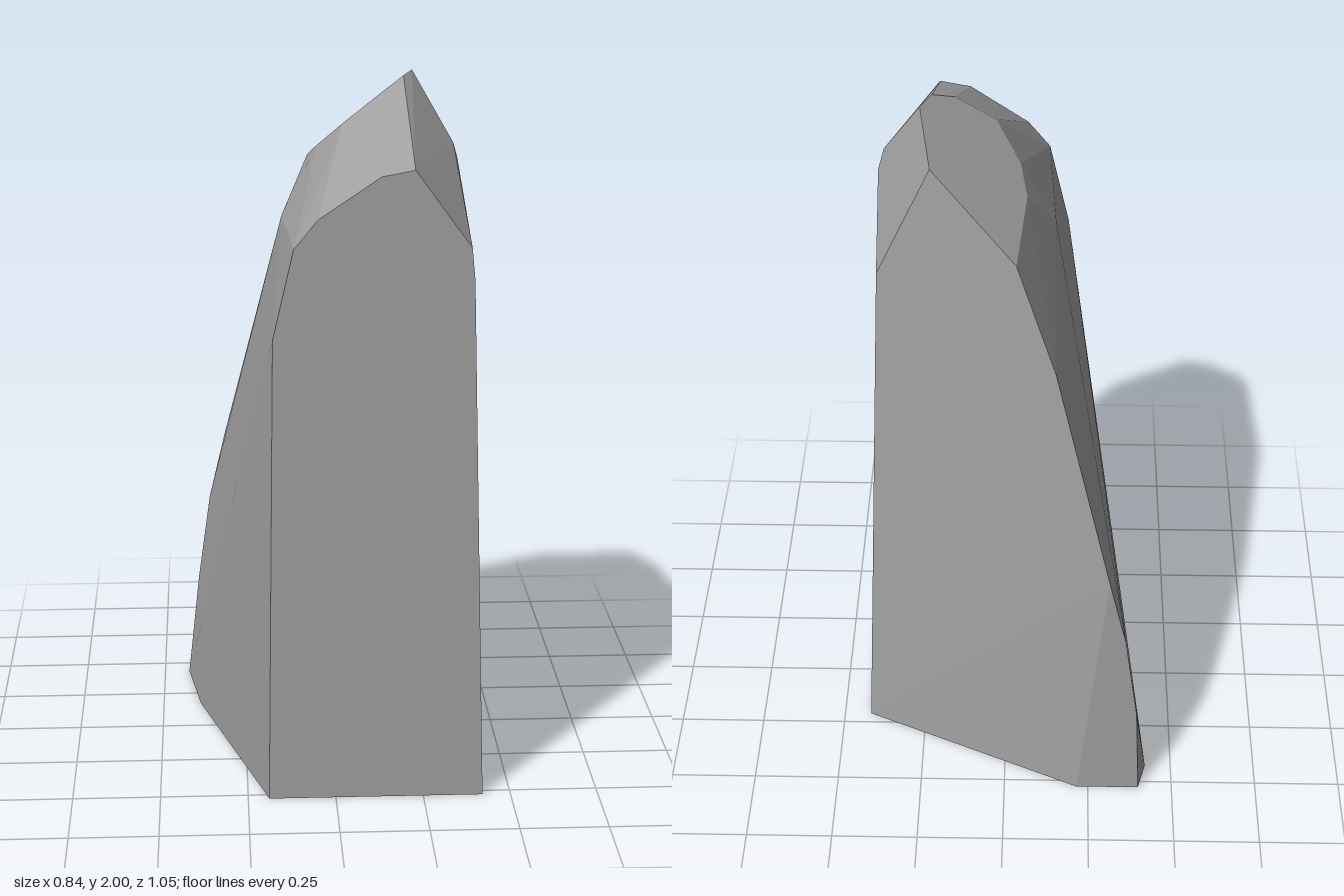
import * as THREE from 'three';
import { ConvexGeometry } from 'three/addons/geometries/ConvexGeometry.js';

export function createModel() {
  const group = new THREE.Group();
  group.name = 'rockPillar';
  const stone = new THREE.MeshStandardMaterial({ color: 0xa0a0a0, flatShading: true });
  stone.name = 'grey stone';

  // Corners of the cut stone, grouped by the face they outline
  const base = [
    [-0.19, 0, 0.525], [0.42, 0, 0.525], [0.42, 0, -0.21], [-0.215, 0, -0.525],
    [-0.4, 0, -0.525], [-0.423, 0, -0.43], [-0.386, 0, -0.17],
  ];
  const frontFace = [
    [-0.173, 1.35, 0.525], [-0.115, 1.6, 0.525], [-0.05, 1.68, 0.525], [0.12, 1.795, 0.525],
    [0.21, 1.812, 0.525], [0.365, 1.6, 0.525], [0.374, 1.51, 0.525],
  ];
  // Slanted back face, running down to the narrow rear chamfer
  const backFace = [
    [0.362, 1.56, -0.149], [0.205, 1.92, -0.206], [-0.03, 1.7, -0.335], [-0.14, 1.4, -0.407],
    [-0.3, 0.77, -0.525], [-0.35, 0.56, -0.525], [-0.388, 0.29, -0.525],
  ];
  // Sloping cap on top: heights follow one plane
  const cap = [
    [0.24, 0], [0.21, 0.08], [0.15, 0.135], [0.035, 0.165], [-0.035, 0.06], [-0.055, -0.05],
  ].map(([x, z]) => [x, 1.808 + 0.8 * x + 0.248 * z, z]);
  // Shoulder corners on both sides
  const shoulders = [[0.35, 1.81, 0.11], [0.365, 1.76, 0.08], [-0.135, 1.6, 0.09]];

  const points = [...base, ...frontFace, ...backFace, ...cap, ...shoulders]
    .map((p) => new THREE.Vector3(...p));
  const rock = new THREE.Mesh(new ConvexGeometry(points), stone);
  rock.name = 'rock';
  group.add(rock);
  return group;
}
